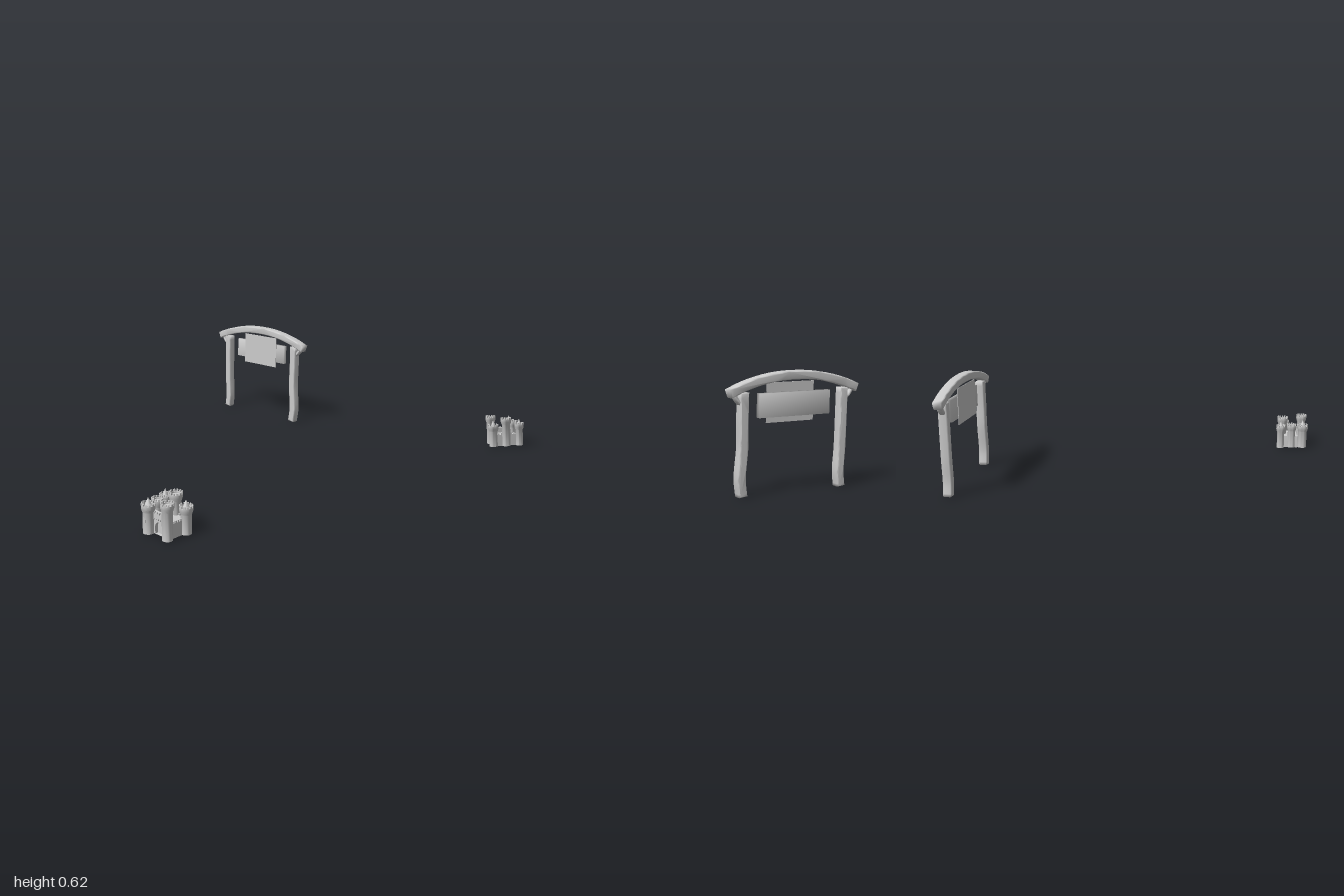
import * as THREE from 'three';
import { mergeVertices, toCreasedNormals } from 'three/addons/utils/BufferGeometryUtils.js';

const mat = new THREE.MeshStandardMaterial({ color: 0xcccccc, side: THREE.DoubleSide });

function add(parent, name, geometry, x = 0, y = 0, z = 0) {
  const m = new THREE.Mesh(geometry, mat);
  m.name = name;
  m.position.set(x, y, z);
  parent.add(m);
  return m;
}

// Softly shaded timber: shared corner normals
function soften(geometry) {
  geometry.deleteAttribute('normal');
  geometry.deleteAttribute('uv');
  const g = mergeVertices(geometry, 1e-5);
  g.computeVertexNormals();
  return g;
}

// Timber of given thickness following a centre line in the xy plane
function timber(points, width, z0, z1) {
  const curve = new THREE.CatmullRomCurve3(points.map(([x, y]) => new THREE.Vector3(x, y, 0)));
  const n = 20, upper = [], lower = [];
  for (let i = 0; i <= n; i++) {
    const p = curve.getPoint(i / n), t = curve.getTangent(i / n);
    const ox = -t.y * width / 2, oy = t.x * width / 2;
    upper.push(new THREE.Vector2(p.x + ox, p.y + oy));
    lower.unshift(new THREE.Vector2(p.x - ox, p.y - oy));
  }
  const b = 0.006;
  const g = new THREE.ExtrudeGeometry(new THREE.Shape([...upper, ...lower]), {
    depth: z1 - z0 - 2 * b, bevelEnabled: true, bevelThickness: b, bevelSize: b, bevelOffset: -b, bevelSegments: 1,
  });
  g.translate(0, 0, z0 + b);
  return soften(g);
}

function createArch() {
  const arch = new THREE.Group();
  arch.name = 'signArch';
  add(arch, 'archBeam', timber([[-0.752, 0.516], [-0.66, 0.552], [-0.52, 0.585], [-0.375, 0.595],
    [-0.23, 0.585], [-0.09, 0.552], [0.002, 0.516]], 0.044, -1, -0.945));
  add(arch, 'rightPost', timber([[-0.67, 0], [-0.661, 0.08], [-0.667, 0.2], [-0.669, 0.38], [-0.67, 0.52]], 0.046, -0.998, -0.948));
  add(arch, 'leftPost', timber([[-0.08, 0], [-0.069, 0.09], [-0.081, 0.25], [-0.079, 0.38], [-0.08, 0.52]], 0.048, -0.998, -0.948));
  for (const s of [-1, 1]) {
    const c = -0.375;
    add(arch, 'brace', timber([[c + s * 0.352, 0.52], [c + s * 0.335, 0.488], [c + s * 0.308, 0.462]], 0.02, -0.99, -0.956));
  }
  // Hanging sign: thick backing board with a thin plate in front
  add(arch, 'signBoard', soften(new THREE.BoxGeometry(0.418, 0.122, 0.026)), -0.374, 0.45, -0.977);
  add(arch, 'signPlate', new THREE.BoxGeometry(0.28, 0.203, 0.003), -0.366, 0.458, -0.955);
  return arch;
}

// Row of merlons between two points
function battlement(parent, x0, z0, x1, z1, y) {
  const n = Math.max(2, Math.round(Math.hypot(x1 - x0, z1 - z0) / 0.016));
  for (let i = 0; i < n; i++) {
    const t = (i + 0.5) / n;
    add(parent, 'merlon', new THREE.BoxGeometry(0.008, 0.01, 0.008), x0 + (x1 - x0) * t, y + 0.005, z0 + (z1 - z0) * t);
  }
}

function tower(x, z, r, height, spire) {
  const g = new THREE.Group();
  g.name = 'tower';
  g.position.set(x, 0, z);
  const R = r + 0.007, top = height - 0.01;
  const profile = [[0, 0], [r, 0], [r, top - 0.036], [r + 0.003, top - 0.03], [R - 0.001, top - 0.019],
    [R, top - 0.017], [R, top], [R - 0.008, top], [R - 0.008, top - 0.008], [0, top - 0.008]]
    .map(([a, b]) => new THREE.Vector2(a, b));
  add(g, 'towerShaft', toCreasedNormals(new THREE.LatheGeometry(profile, 24), 0.7));
  const n = 12;
  for (let i = 0; i < n; i++) {
    const a = i / n * Math.PI * 2;
    const m = add(g, 'merlon', new THREE.BoxGeometry(0.009, 0.011, 0.007),
      Math.sin(a) * (R - 0.0035), top + 0.0045, Math.cos(a) * (R - 0.0035));
    m.rotation.y = a;
  }
  if (spire) {
    add(g, 'spire', toCreasedNormals(new THREE.ConeGeometry(r * 0.72, spire, 24), 0.9), 0, top - 0.008 + spire / 2, 0);
  }
  return g;
}

function createCastle() {
  const castle = new THREE.Group();
  castle.name = 'castle';
  // x, z, radius, height, spire height
  const towers = [
    [0.555, 0.824, 0.023, 0.15, 0.045],
    [0.640, 0.835, 0.027, 0.187, 0],
    [0.722, 0.847, 0.027, 0.145, 0.045],
    [0.577, 0.894, 0.024, 0.155, 0],
    [0.587, 0.964, 0.028, 0.152, 0.046],
    [0.713, 0.960, 0.026, 0.187, 0],
  ];
  towers.forEach(t => castle.add(tower(...t)));

  // Keep and side walls
  add(castle, 'keep', new THREE.BoxGeometry(0.155, 0.075, 0.1), 0.645, 0.0375, 0.885);
  battlement(castle, 0.719, 0.875, 0.719, 0.935, 0.075);
  battlement(castle, 0.66, 0.839, 0.7, 0.839, 0.075);
  battlement(castle, 0.578, 0.839, 0.615, 0.839, 0.075);

  // Gatehouse front with an arched opening
  const wall = new THREE.Shape([[0.595, 0], [0.71, 0], [0.71, 0.108], [0.595, 0.108]].map(p => new THREE.Vector2(...p)));
  const door = new THREE.Path();
  door.moveTo(0.62, 0.001);
  door.lineTo(0.62, 0.035);
  door.absarc(0.65, 0.035, 0.03, Math.PI, 0, true);
  door.lineTo(0.68, 0.001);
  door.closePath();
  wall.holes.push(door);
  const wg = new THREE.ExtrudeGeometry(wall, { depth: 0.024, bevelEnabled: false, curveSegments: 12 });
  add(castle, 'gateWall', toCreasedNormals(wg, 0.6), 0, 0, 0.928);
  add(castle, 'parapet', new THREE.BoxGeometry(0.09, 0.022, 0.007), 0.65, 0.093, 0.953);
  battlement(castle, 0.61, 0.952, 0.69, 0.952, 0.104);
  for (let i = 0; i < 6; i++) {
    add(castle, 'corbel', new THREE.BoxGeometry(0.006, 0.009, 0.006), 0.617 + i * 0.0132, 0.078, 0.953);
  }
  // Arrow slits on the front left tower
  for (const dx of [-0.006, 0.006]) add(castle, 'arrowSlit', new THREE.BoxGeometry(0.003, 0.024, 0.003), 0.587 + dx, 0.07, 0.991);
  return castle;
}

export function createModel() {
  const model = new THREE.Group();
  model.name = 'archAndCastle';
  model.add(createArch(), createCastle());
  return model;
}
